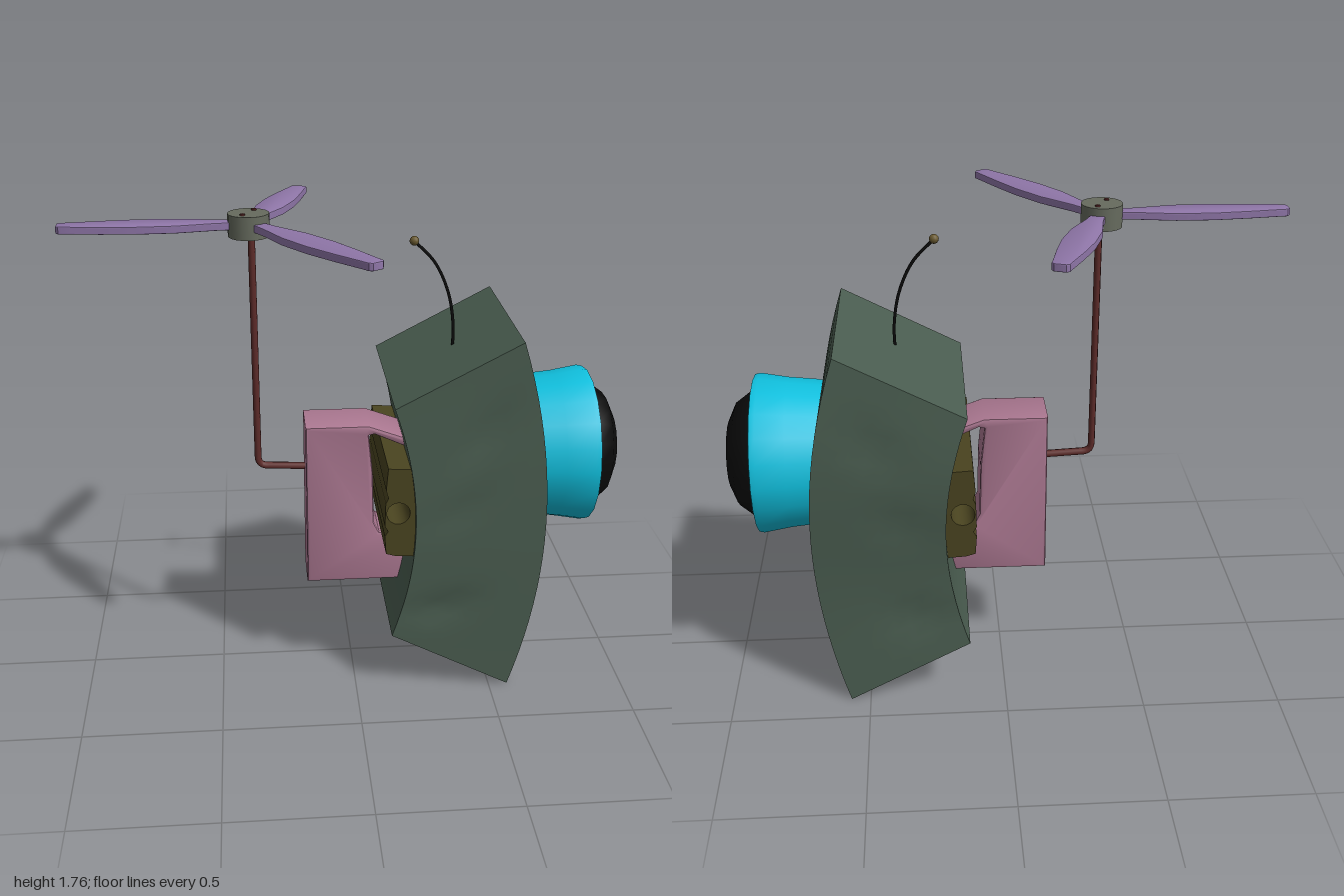
import * as THREE from 'three';
import { toCreasedNormals } from 'three/addons/utils/BufferGeometryUtils.js';

const mat = (color, extra = {}) => new THREE.MeshStandardMaterial({ color, ...extra });
const shapeOf = pts => new THREE.Shape(pts.map(p => new THREE.Vector2(...p)));

function part(parent, name, geometry, material, x = 0, y = 0, z = 0) {
  const mesh = new THREE.Mesh(geometry, material);
  mesh.name = name;
  mesh.position.set(x, y, z);
  parent.add(mesh);
  return mesh;
}

// Bevelled plate filling z0..z1
function plate(shape, z0, z1, bevel) {
  const g = new THREE.ExtrudeGeometry(shape, {
    depth: z1 - z0 - 2 * bevel, bevelEnabled: bevel > 0, bevelSize: bevel, bevelOffset: -bevel,
    bevelThickness: bevel, bevelSegments: 2, curveSegments: 10,
  });
  g.translate(0, 0, z0 + bevel);
  return toCreasedNormals(g, 0.6);
}

// Curved block: a box bent between an inner and an outer arc, with shallow dents on its sides
function bodyGeometry() {
  const g = new THREE.BoxGeometry(1, 2, 1, 8, 20, 2);
  const p = g.attributes.position;
  const dents = [[0.3, -0.65, 1.2], [0.35, 0.1, 0.7], [0.6, 0.6, 1]];
  for (let i = 0; i < p.count; i++) {
    const u = p.getX(i) + 0.5, t = p.getY(i), s = p.getZ(i) * 2;
    const x = THREE.MathUtils.lerp(0.21 - 0.08 * t * t, 0.68 - 0.11 * t * t, u);
    const y = 0.68 + t * THREE.MathUtils.lerp(0.45, 0.68, u);
    let bulge = s < 0 ? 0.012 * Math.sin(t * 3.5) : 0.006 * Math.cos(t * 2.5);
    for (const [du, dt, k] of dents) {
      const along = (u - du) + (t - dt) * 1.5, across = (t - dt) - (u - du) * 0.6;
      bulge -= 0.014 * k * Math.exp(-along * along * 8 - across * across * 90);
    }
    p.setXYZ(i, x, y, -0.05 + s * (0.342 + bulge));
  }
  return toCreasedNormals(g, 0.5);
}

// Surface of revolution around x; profile is [x, radius]
function latheX(profile, segments) {
  const g = new THREE.LatheGeometry(profile.map(([x, r]) => new THREE.Vector2(r, x)), segments);
  g.rotateZ(-Math.PI / 2);
  return toCreasedNormals(g, 0.6);
}

// Leaf-shaped propeller blade lying flat and pointing along +x
function bladeGeometry(length) {
  const upper = [[0.03, 0.022], [0.12, 0.03], [0.25, 0.053], [0.38, 0.056], [0.5, 0.046], [0.6, 0.034], [0.64, 0.03]];
  const lower = upper.map(([x, w]) => [x, -w]).reverse();
  const outline = [...upper, [0.65, 0.02], [0.65, -0.02], ...lower];
  const g = plate(shapeOf(outline.map(([x, w]) => [x * length / 0.65, w])), -0.0135, 0.0135, 0.004);
  return g.rotateX(Math.PI / 2);
}

export function createModel() {
  const model = new THREE.Group();
  const rodMat = mat(0x5e2c2a), black = mat(0x0a0a0a), bladeMat = mat(0x8f76a8), hubMat = mat(0x666b5e);

  part(model, 'body', bodyGeometry(), mat(0x4a5d50));

  // Round eye on the outer curve
  const eye = new THREE.Group();
  eye.name = 'eye';
  eye.position.set(0, 0.848, -0.033);
  model.add(eye);
  part(eye, 'eyeRing', latheX([[0.56, 0.245], [0.66, 0.265], [0.76, 0.275], [0.86, 0.292], [0.88, 0.288],
    [0.884, 0.272], [0.875, 0.225]], 20), mat(0x10c0de, { side: THREE.DoubleSide }));
  part(eye, 'lens', latheX([[0.86, 0.24], [0.89, 0.235], [0.95, 0.19], [0.98, 0.125], [1.0, 0]], 18), black);

  // C-shaped bracket on the inner curve
  part(model, 'bracket', plate(shapeOf([[-0.17, 0.36], [0.25, 0.36], [0.25, 0.56], [0.1, 0.56], [0.08, 0.6],
    [0.075, 0.8], [0.06, 0.95], [0.08, 0.955], [0.19, 0.905], [0.25, 0.9], [0.25, 0.92], [0.06, 0.99],
    [-0.17, 0.99]]), -0.1, 0.09, 0.012), mat(0xaa7790));

  // Two-lobed cross bar with a bore running its full length
  const bar = shapeOf([[0.105, 0.57], [0.14, 0.56], [0.225, 0.555], [0.235, 0.73], [0.235, 0.89], [0.2, 0.885],
    [0.19, 0.9], [0.11, 0.905], [0.103, 0.82], [0.112, 0.79], [0.102, 0.77], [0.1, 0.68], [0.112, 0.66],
    [0.1, 0.64]]);
  bar.holes.push(new THREE.Path().absarc(0.148, 0.73, 0.042, 0, Math.PI * 2, true));
  part(model, 'crossBar', plate(bar, -0.33, 0.28, 0), mat(0x4a4420));

  // Bent mast: upright, elbow and arm
  const mast = new THREE.CurvePath();
  const v = (x, y) => new THREE.Vector3(x, y, 0);
  mast.add(new THREE.LineCurve3(v(-0.342, 1.69), v(-0.342, 0.84)));
  mast.add(new THREE.QuadraticBezierCurve3(v(-0.342, 0.84), v(-0.342, 0.808), v(-0.31, 0.806)));
  mast.add(new THREE.LineCurve3(v(-0.31, 0.806), v(-0.15, 0.798)));
  const mastGeo = new THREE.TubeGeometry(mast, 90, 0.0125, 8);
  mastGeo.scale(1, 1, 1.35);
  part(model, 'mast', mastGeo, rodMat, 0, 0, -0.01);

  // Propeller
  const propeller = new THREE.Group();
  propeller.name = 'propeller';
  propeller.position.set(-0.35, 1.712, -0.01);
  model.add(propeller);
  part(propeller, 'hub', new THREE.CylinderGeometry(0.072, 0.072, 0.08, 20), hubMat);
  for (const [dx, dz] of [[-0.65, 0.01], [0.2, -0.55], [0.39, 0.565]]) {
    const blade = part(propeller, 'blade', bladeGeometry(Math.hypot(dx, dz)), bladeMat);
    blade.rotation.y = Math.atan2(-dz, dx);
  }
  for (const [x, z] of [[0.02, -0.04], [-0.02, 0.035]])
    part(propeller, 'hubBolt', new THREE.CylinderGeometry(0.009, 0.009, 0.006, 8), rodMat, x, 0.042, z);

  // Whip antenna with a small bead
  const whip = new THREE.CatmullRomCurve3([v(0.37, 1.22), v(0.371, 1.33), v(0.35, 1.45), v(0.3, 1.56), v(0.225, 1.64)]);
  part(model, 'antenna', new THREE.TubeGeometry(whip, 24, 0.006, 6), black, 0, 0, -0.02);
  part(model, 'antennaTip', new THREE.SphereGeometry(0.017, 10, 8), mat(0x6a5a30), 0.225, 1.64, -0.02);

  return model;
}
